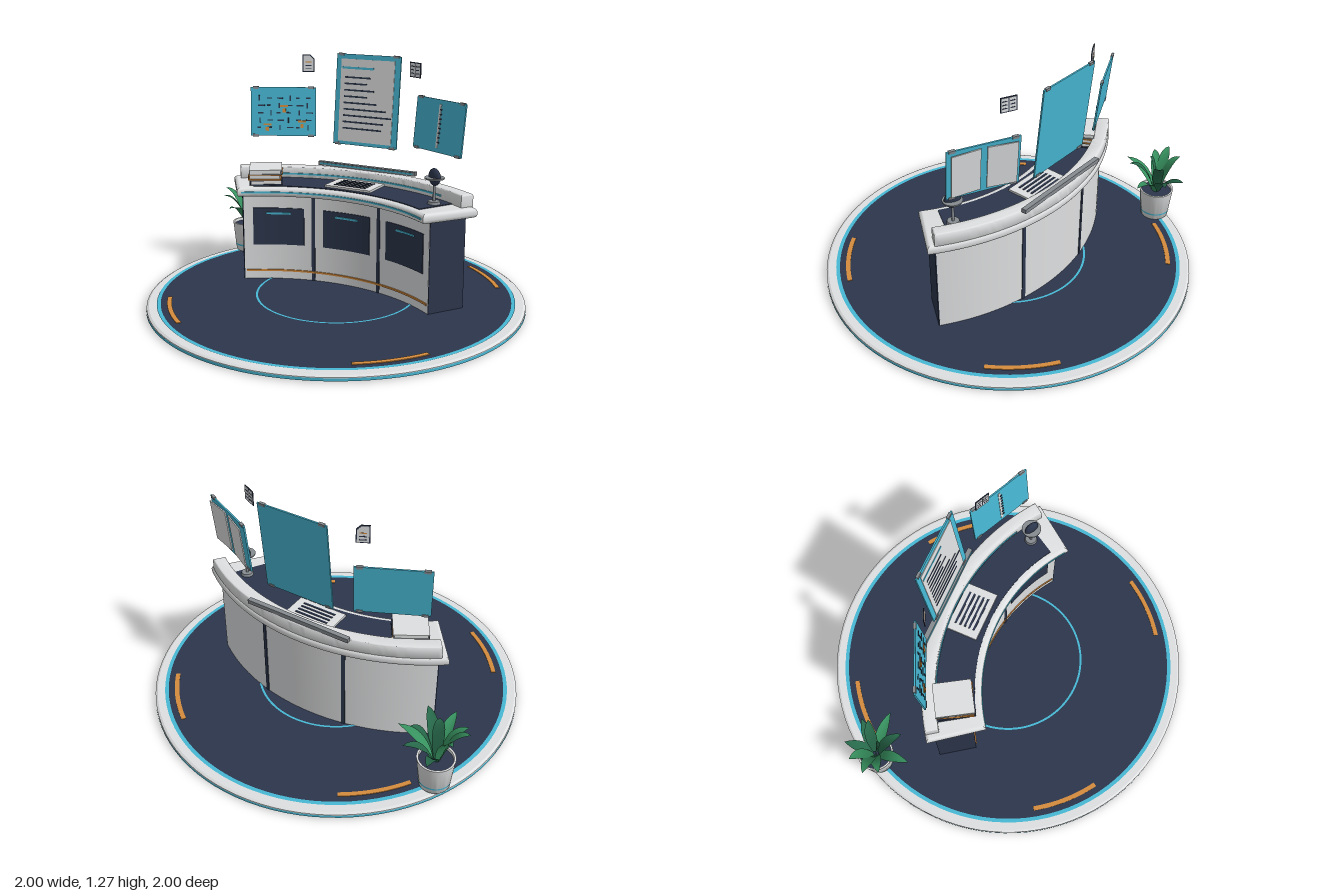
import * as THREE from 'three';
import { toCreasedNormals } from 'three/addons/utils/BufferGeometryUtils.js';

const mat = (name, color, side = THREE.FrontSide) => {
  const m = new THREE.MeshStandardMaterial({ color, side });
  m.name = name;
  return m;
};
const white = mat('white', 0xdedfe0), navy = mat('navy', 0x2c364c), cyan = mat('cyan', 0x47b8d4);
const orange = mat('orange', 0xd48b3c), grey = mat('grey', 0x868b90);
const green = mat('leaf green', 0x37915f, THREE.DoubleSide), deepGreen = mat('deep green', 0x27684a, THREE.DoubleSide);

const CZ = 0.835; // centre of the desk's curve
const rad = THREE.MathUtils.degToRad;

function add(parent, name, geo, m, x = 0, y = 0, z = 0) {
  const mesh = new THREE.Mesh(geo, m);
  mesh.name = name;
  mesh.position.set(x, y, z);
  parent.add(mesh);
  return mesh;
}
const box = (p, name, w, h, d, m, x, y, z) => add(p, name, new THREE.BoxGeometry(w, h, d), m, x, y, z);
function group(parent, name, x = 0, y = 0, z = 0) {
  const g = new THREE.Group();
  g.name = name;
  g.position.set(x, y, z);
  parent.add(g);
  return g;
}

// Curved slab between two radii and two angles (degrees from the back, + to the model's left)
function arc(parent, name, r0, r1, t0, t1, y0, y1, m, bevel = 0, cz = CZ) {
  const s = new THREE.Shape();
  const a0 = Math.PI / 2 - rad(t0), a1 = Math.PI / 2 - rad(t1);
  s.absarc(0, 0, r1, a1, a0, false);
  s.absarc(0, 0, r0, a0, a1, true);
  s.closePath();
  let geo = new THREE.ExtrudeGeometry(s, {
    depth: y1 - y0 - 2 * bevel, curveSegments: 40, bevelEnabled: bevel > 0,
    bevelSize: bevel, bevelThickness: bevel, bevelOffset: -bevel, bevelSegments: 4
  });
  geo.rotateX(-Math.PI / 2).translate(0, y0 + bevel, cz);
  return add(parent, name, toCreasedNormals(geo, 0.6), m);
}

function ring(parent, name, r0, r1, y, m) {
  return add(parent, name, new THREE.RingGeometry(r0, r1, 96).rotateX(-Math.PI / 2), m, 0, y, 0);
}

function buildFloor(root) {
  const g = group(root, 'floor');
  const pts = [[0, 0], [0.985, 0], [0.997, 0.006], [0.997, 0.022], [0.985, 0.029], [0, 0.029]];
  const body = new THREE.LatheGeometry(pts.map(p => new THREE.Vector2(...p)), 96);
  add(g, 'platform', toCreasedNormals(body.toNonIndexed(), 0.5), white);
  add(g, 'edgeBand', new THREE.CylinderGeometry(1, 1, 0.014, 96, 1, true), cyan, 0, 0.013, 0);
  add(g, 'carpet', new THREE.CircleGeometry(0.928, 96).rotateX(-Math.PI / 2), navy, 0, 0.0305, 0);
  ring(g, 'outerRing', 0.925, 0.945, 0.032, cyan);
  ring(g, 'innerRing', 0.417, 0.428, 0.033, cyan);
  for (const t of [45, 135, 225, 315])
    arc(g, 'floorMarker', 0.868, 0.892, t - 12, t + 12, 0.029, 0.034, orange, 0, 0);
}

function buildDesk(root) {
  const g = group(root, 'desk');
  arc(g, 'deskBody', 0.96, 1.17, -35, 35, 0.03, 0.52, white);
  for (const s of [-1, 1]) {
    arc(g, 'endPanel', 0.961, 1.169, s * 35.1 - 0.15, s * 35.1 + 0.15, 0.031, 0.515, navy);
    arc(g, 'frontSeam', 0.957, 0.961, s * 11.9 - 0.6, s * 11.9 + 0.6, 0.03, 0.515, navy);
    arc(g, 'backSeam', 1.169, 1.174, s * 11.9 - 0.5, s * 11.9 + 0.5, 0.03, 0.515, navy);
  }
  // Inset cabinet fronts with handles
  for (const t of [-23.5, 0, 23.5]) {
    arc(g, 'cabinetFront', 0.955, 0.961, t - 8.5, t + 8.5, 0.23, 0.44, navy);
    arc(g, 'handle', 0.95, 0.956, t - 4, t + 4, 0.405, 0.415, cyan);
  }
  arc(g, 'orangeTrim', 0.954, 0.961, -34.5, 34.5, 0.074, 0.084, orange);
  // Worktop and raised back rim
  arc(g, 'worktop', 0.9, 1.21, -37.2, 37.2, 0.515, 0.567, white, 0.02);
  arc(g, 'worktopTrim', 0.896, 0.903, -35.8, 35.8, 0.538, 0.547, cyan);
  arc(g, 'deskMat', 0.935, 1.135, -31.5, 31.5, 0.56, 0.571, navy);
  arc(g, 'backRim', 1.135, 1.206, -35.5, 35.5, 0.56, 0.632, white, 0.01);
  arc(g, 'rimTrim', 1.13, 1.137, -27, 27, 0.588, 0.597, cyan);
  box(g, 'projectorBar', 0.595, 0.022, 0.026, grey, 0, 0.643, -0.352);
  box(g, 'projectorLight', 0.57, 0.008, 0.004, cyan, 0, 0.644, -0.338);
}

function buildDeskItems(root) {
  // Keyboard
  const k = group(root, 'keyboard', 0, 0.576, -0.208);
  box(k, 'keyboardBase', 0.275, 0.012, 0.172, white, 0, 0, 0);
  for (let i = 0; i < 5; i++) box(k, 'keyRow', 0.19, 0.006, 0.011, navy, 0, 0.006, -0.052 + i * 0.026);
  // Stack of books, each with a coloured cover around white pages
  const b = group(root, 'books', -0.488, 0.571, -0.085);
  b.rotation.y = 0.53;
  [[navy, 0.05], [orange, -0.04], [grey, 0.02]].forEach(([m, turn], i) => {
    const book = group(b, 'book', 0, 0.014 + i * 0.028, 0);
    book.rotation.y = turn;
    box(book, 'pages', 0.165, 0.018, 0.19, white, 0, 0, 0);
    for (const s of [-1, 1]) box(book, 'cover', 0.178, 0.005, 0.2, s > 0 && i === 2 ? white : m, 0, s * 0.0115, 0);
    box(book, 'spine', 0.005, 0.026, 0.2, m, -0.087, 0, 0);
  });
  // Small globe on a stand
  const l = group(root, 'deskGlobe', 0.513, 0.571, -0.09);
  l.rotation.y = -0.5;
  add(l, 'globeBase', new THREE.CylinderGeometry(0.03, 0.034, 0.014, 28), grey, 0, 0.007, 0);
  add(l, 'globeStem', new THREE.CylinderGeometry(0.007, 0.007, 0.1, 14), grey, 0, 0.06, 0);
  add(l, 'globe', new THREE.SphereGeometry(0.045, 24, 16).scale(0.95, 1, 0.45), navy, 0, 0.138, 0);
  add(l, 'globeRing', new THREE.CylinderGeometry(0.051, 0.051, 0.007, 32), grey, 0, 0.133, 0);
}

function screen(root, name, w, h, x, y, z, yaw) {
  const g = group(root, name, x, y, z);
  g.rotation.order = 'YXZ';
  g.rotation.set(-0.1, yaw, 0);
  box(g, 'screenPanel', w, h, 0.008, cyan, 0, 0, 0);
  for (const sx of [-1, 1]) for (const sy of [-1, 1])
    box(g, 'cornerClip', 0.032, 0.014, 0.014, grey, sx * (w / 2 - 0.028), sy * (h / 2 - 0.003), 0);
  return g;
}

function buildScreens(root) {
  // Document on the centre screen
  const c = screen(root, 'documentScreen', 0.385, 0.495, 0, 1.018, -0.35, 0);
  box(c, 'page', 0.322, 0.45, 0.006, white, -0.002, -0.004, 0.004);
  box(c, 'heading', 0.19, 0.012, 0.004, cyan, -0.06, 0.173, 0.007);
  [0.155, 0.135, 0.18, 0.14, 0.2, 0.255, 0.29, 0.245, 0.235].forEach((w, i) =>
    box(c, 'textLine', w, 0.009, 0.004, navy, -0.137 + w / 2, 0.122 - i * 0.0348, 0.007));

  // Map with dashed streets and orange places
  const m = screen(root, 'mapScreen', 0.365, 0.272, -0.471, 0.937, -0.25, 0.445);
  for (let r = 0; r < 5; r++) for (let i = 0; i < 6; i++) {
    const k = (r * 7 + i * 5) % 4, upright = (r + i) % 3 === 0;
    box(m, 'street', upright ? 0.007 : 0.02 + k * 0.006, upright ? 0.03 : 0.007, 0.004, navy,
      -0.135 + i * 0.054 + k * 0.004, 0.075 - r * 0.041, 0.005);
  }
  for (const [x, y] of [[-0.09, -0.072], [0.005, 0.032], [0.105, -0.055]]) {
    box(m, 'place', 0.045, 0.01, 0.005, orange, x, y, 0.006);
    box(m, 'placePin', 0.018, 0.022, 0.005, orange, x, y - 0.025, 0.006);
  }

  // Open book: pages spread behind the panel, spine showing in front
  const b = screen(root, 'bookScreen', 0.365, 0.272, 0.466, 0.937, -0.25, -0.445);
  for (const s of [-1, 1])
    box(b, 'bookPage', 0.148, 0.235, 0.006, white, s * 0.09, 0, -0.013).rotation.y = s * 0.08;
  box(b, 'bookSpine', 0.014, 0.225, 0.006, white, 0, 0, 0.004);
  for (let i = 0; i < 8; i++) box(b, 'stitch', 0.012, 0.007, 0.004, navy, 0.009, 0.085 - i * 0.024, 0.007);
}

function buildIcons(root) {
  // Sheet with a folded corner
  const d = group(root, 'sheetIcon', -0.32, 1.213, -0.275);
  d.rotation.y = 0.445;
  const sheet = (w, h, f, depth) => new THREE.ExtrudeGeometry(new THREE.Shape([[-w, -h], [w, -h], [w, h - f], [w - f, h], [-w, h]]
    .map(p => new THREE.Vector2(...p))), { depth, bevelEnabled: false }).translate(0, 0, -depth / 2);
  add(d, 'sheetOutline', sheet(0.033, 0.047, 0.023, 0.004), navy);
  add(d, 'sheet', sheet(0.028, 0.042, 0.021, 0.007), white);
  for (let i = 0; i < 3; i++) box(d, 'sheetLine', 0.034, 0.005, 0.009, i ? navy : orange, 0, 0.006 - i * 0.018, 0);
  // Two-page table
  const t = group(root, 'tableIcon', 0.317, 1.213, -0.275);
  t.rotation.y = -0.445;
  box(t, 'tableOutline', 0.084, 0.078, 0.004, navy, 0, 0, 0);
  for (const s of [-1, 1]) {
    box(t, 'tablePage', 0.034, 0.068, 0.007, white, s * 0.0195, 0, 0);
    for (let i = -1; i < 2; i++) box(t, 'tableLine', 0.024, 0.005, 0.009, navy, s * 0.0195, i * 0.018, 0);
  }
}

// Folded, tapering leaf along a drooping curve
function leafGeometry(x, y, z) {
  const path = new THREE.QuadraticBezierCurve3(new THREE.Vector3(x * 0.08, 0, z * 0.08),
    new THREE.Vector3(x * 0.4, y * 0.95, z * 0.4), new THREE.Vector3(x, y, z));
  const side = new THREE.Vector3(z, 0, -x).normalize();
  const N = 9, pos = [], idx = [];
  for (let i = 0; i <= N; i++) {
    const u = i / N, p = path.getPoint(u), w = 0.03 * Math.pow(Math.sin(Math.PI * (0.12 + 0.88 * u)), 0.8);
    for (const s of [-1, 0, 1]) pos.push(p.x + side.x * w * s, p.y + Math.abs(s) * w * 0.35, p.z + side.z * w * s);
    if (i < N) for (const k of [0, 1]) {
      const a = i * 3 + k;
      idx.push(a, a + 1, a + 3, a + 1, a + 4, a + 3);
    }
  }
  const geo = new THREE.BufferGeometry();
  geo.setAttribute('position', new THREE.Float32BufferAttribute(pos, 3));
  geo.setIndex(idx);
  geo.computeVertexNormals();
  return geo;
}

function buildPlant(root) {
  const g = group(root, 'plant', -0.835, 0.03, -0.418);
  const pot = [[0, 0], [0.072, 0], [0.078, 0.008], [0.094, 0.165], [0.096, 0.176], [0.086, 0.176], [0.084, 0.155]];
  const geo = new THREE.LatheGeometry(pot.map(p => new THREE.Vector2(...p)), 36);
  add(g, 'pot', toCreasedNormals(geo.toNonIndexed(), 0.6), white);
  add(g, 'potStripe', new THREE.CylinderGeometry(0.0838, 0.0828, 0.01, 36, 1, true), cyan, 0, 0.04, 0);
  add(g, 'soil', new THREE.CircleGeometry(0.086, 36).rotateX(-Math.PI / 2), navy, 0, 0.16, 0);
  const tips = [[-0.15, 0.22, 0.03], [0.115, 0.225, -0.07], [0.215, 0.13, 0], [-0.025, 0.11, -0.157], [0.005, 0.15, 0.21],
    [0.12, 0.2, 0.12], [-0.11, 0.19, 0.1], [0.12, 0.14, -0.125], [-0.11, 0.21, -0.07], [0.02, 0.225, 0.05]];
  tips.forEach((p, i) => add(g, 'leaf', leafGeometry(...p), i % 2 ? deepGreen : green, 0, 0.155, 0));
}

export function createModel() {
  const root = new THREE.Group();
  root.name = 'informationDesk';
  for (const build of [buildFloor, buildDesk, buildDeskItems, buildScreens, buildIcons, buildPlant]) build(root);
  return root;
}
